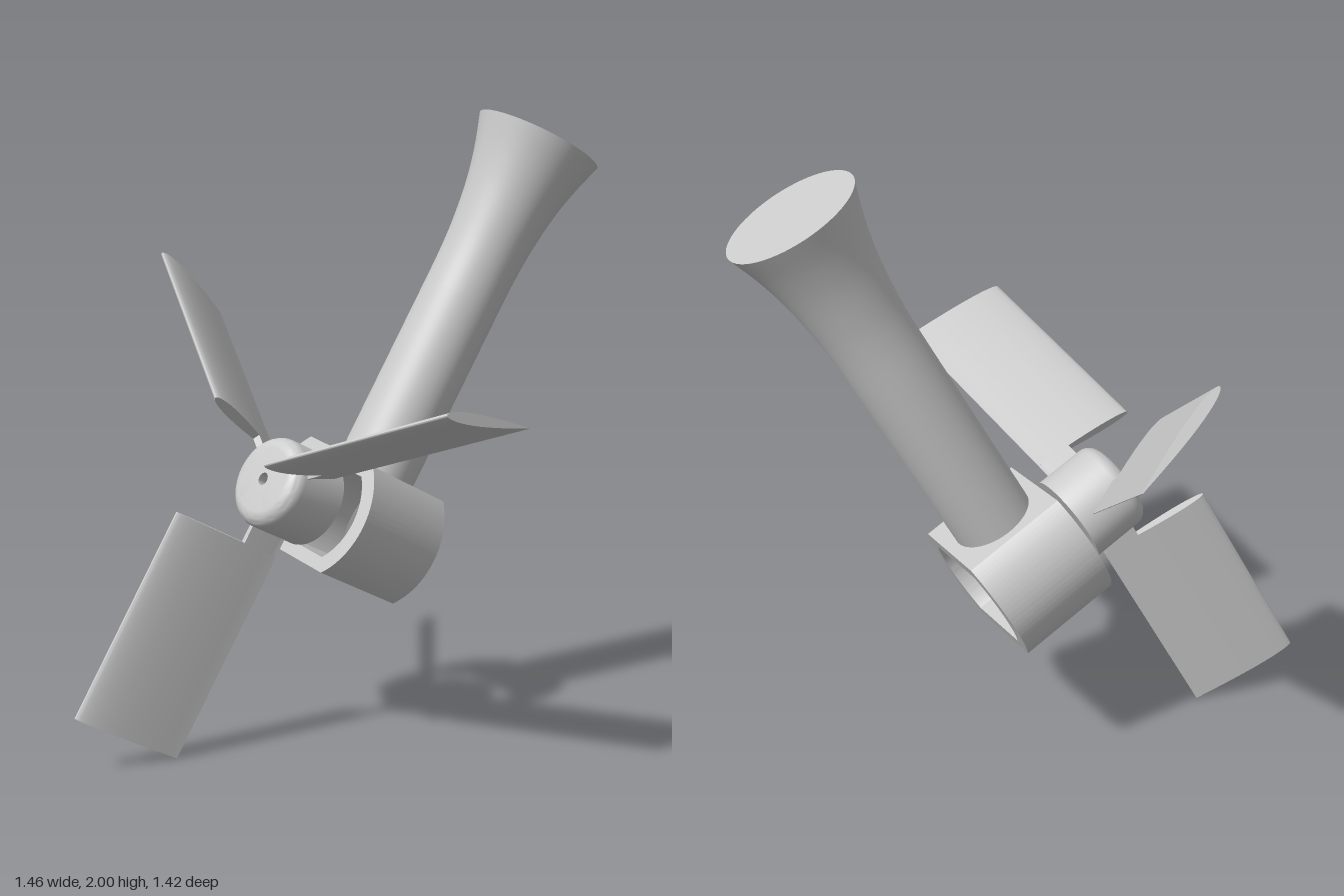
import * as THREE from 'three';
import { toCreasedNormals } from 'three/addons/utils/BufferGeometryUtils.js';

const V3 = (x, y, z) => new THREE.Vector3(x, y, z);
const V2 = (x, y) => new THREE.Vector2(x, y);
const material = new THREE.MeshStandardMaterial({ color: 0xcccccc });

function part(name, geometry, crease = 0.6) {
  const mesh = new THREE.Mesh(toCreasedNormals(geometry, crease), material);
  mesh.name = name;
  return mesh;
}

// Circle cut off flat above and below
function flattenedCircle(path, radius, flat) {
  const t = Math.asin(flat / radius);
  path.absarc(0, 0, radius, -t, t, false);
  path.absarc(0, 0, radius, Math.PI - t, Math.PI + t, false);
  path.closePath();
  return path;
}

// Aerofoil section: sharp trailing edge at x = 0, round nose at x = chord,
// optionally cut off at x = end
function aerofoil(chord, thickness, end = chord) {
  const upper = [];
  const n = 24;
  for (let i = 0; i <= n; i++) {
    const x = end * Math.sin((i / n) * Math.PI / 2);
    const k = Math.max(0, 1 - x / chord);
    const y = 5 * thickness * (0.2969 * Math.sqrt(k) - 0.126 * k - 0.3516 * k ** 2
      + 0.2843 * k ** 3 - 0.1036 * k ** 4);
    upper.push(V2(x, i === 0 ? 0.001 : y));
  }
  const lower = upper.map((p) => V2(p.x, -p.y));
  if (end === chord) upper.pop();
  return new THREE.Shape([...lower, ...upper.reverse()]);
}

function extrude(shape, depth) {
  return new THREE.ExtrudeGeometry(shape, { depth, bevelEnabled: false, curveSegments: 32 });
}

export function createModel() {
  const model = new THREE.Group();
  model.name = 'fanOnStem';

  // Tilted frame: y along the stem, z along the rotor axis, origin on the hub face
  const stemDir = V3(0.392, 0.881, -0.266).normalize();
  const side = new THREE.Vector3().crossVectors(stemDir, V3(-0.527, 0.448, 0.722)).normalize();
  const axis = new THREE.Vector3().crossVectors(side, stemDir);
  const body = new THREE.Group();
  body.name = 'tiltedBody';
  body.quaternion.setFromRotationMatrix(new THREE.Matrix4().makeBasis(side, stemDir, axis));
  body.position.set(-0.22, 0.879, 0.155);
  model.add(body);

  // Open housing with flats above and below
  const ring = flattenedCircle(new THREE.Shape(), 0.247, 0.184);
  ring.holes.push(flattenedCircle(new THREE.Path(), 0.196, 0.14));
  const housing = part('housing', extrude(ring, 0.342));
  housing.position.z = -0.582;
  body.add(housing);

  // Stem flaring to a wide foot
  const flare = new THREE.SplineCurve([
    V2(0.13, 0.8), V2(0.131, 0.91), V2(0.137, 1.02), V2(0.153, 1.15), V2(0.178, 1.264), V2(0.211, 1.37),
  ]).getPoints(24);
  const stem = part('stem', new THREE.LatheGeometry(
    [V2(0, 0.16), V2(0.13, 0.16), ...flare, V2(0, 1.37)], 64));
  stem.position.z = -0.411;
  body.add(stem);

  // Rotor: hub with rounded front edge and shaft hole
  const rotor = new THREE.Group();
  rotor.name = 'rotor';
  body.add(rotor);
  const profile = [V2(0.02, -0.21), V2(0.148, -0.21)];
  for (let i = 0; i <= 8; i++) {
    const t = (i / 8) * Math.PI / 2;
    profile.push(V2(0.103 + 0.045 * Math.cos(t), -0.045 + 0.045 * Math.sin(t)));
  }
  profile.push(V2(0.02, 0), V2(0.02, -0.21));
  rotor.add(part('hub', new THREE.LatheGeometry(profile, 48).rotateX(Math.PI / 2)));

  // Three pitched blades, each joined to the hub by a narrow neck
  const chord = 0.372;
  const thickness = 0.036;
  const toNose = V3(-0.095, 0, 0.36).normalize();
  const outward = V3(0, -1, 0);
  const across = new THREE.Vector3().crossVectors(outward, toNose);
  const pitch = new THREE.Matrix4().makeBasis(toNose, across, outward);
  for (let i = 0; i < 3; i++) {
    const arm = new THREE.Group();
    arm.name = 'bladeArm' + (i + 1);
    arm.rotation.z = (i * 2 * Math.PI) / 3;
    const blade = part('blade', extrude(aerofoil(chord, thickness), 0.704));
    const neck = part('bladeNeck', extrude(aerofoil(chord, thickness, 0.124), 0.105));
    blade.position.set(0.028, -0.205, -0.164);
    neck.position.set(0.028, -0.1, -0.164);
    for (const piece of [blade, neck]) {
      piece.quaternion.setFromRotationMatrix(pitch);
      arm.add(piece);
    }
    rotor.add(arm);
  }
  return model;
}
